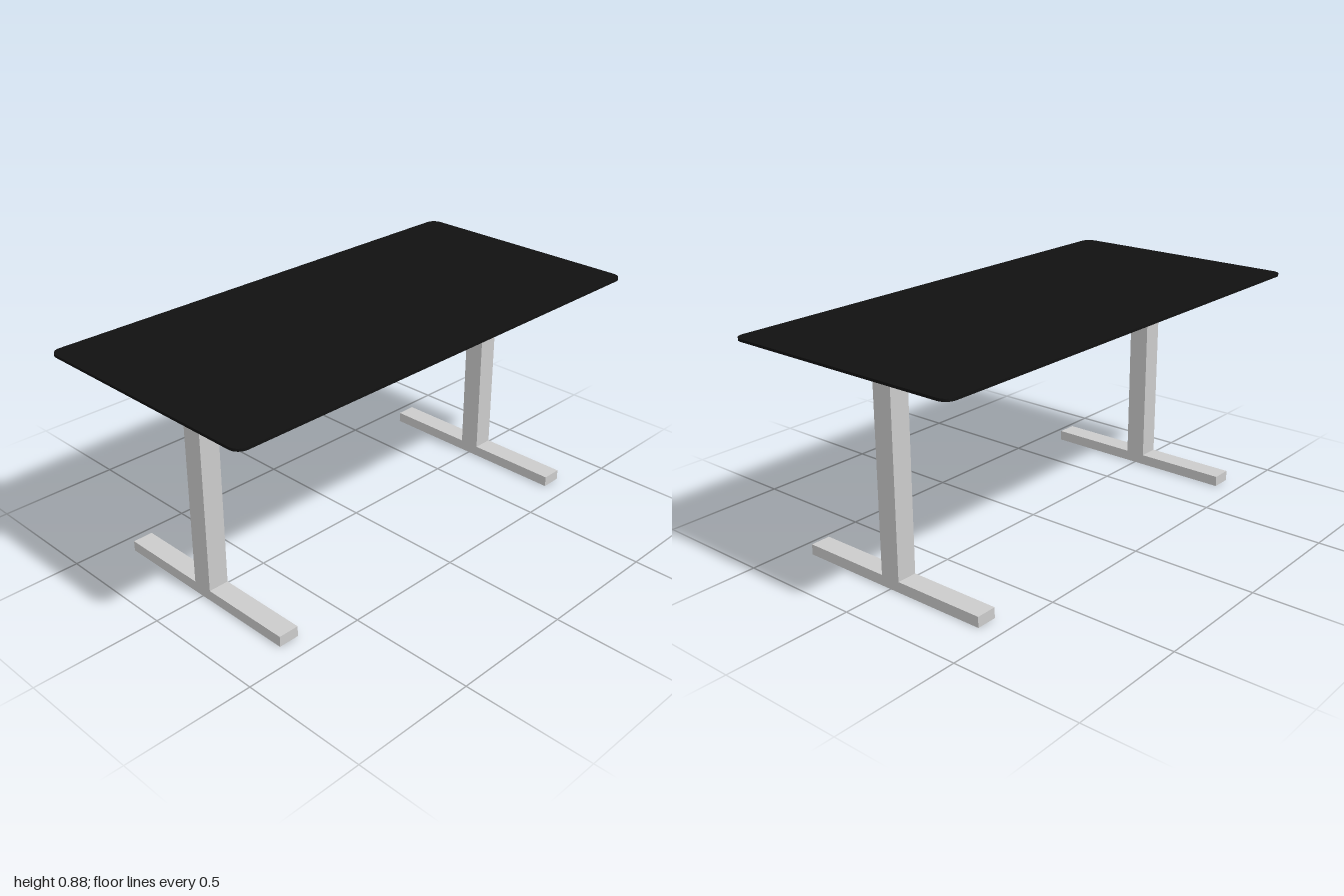
import * as THREE from 'three';

const grey = new THREE.MeshStandardMaterial({ color: 0xcccccc });
const black = new THREE.MeshStandardMaterial({ color: 0x111111 });

const TOP = 0.882, THICK = 0.01;   // table top height and thickness
const POST = 0.083;                // square column width
const FOOT_H = 0.042, FOOT_L = 0.833;

function roundedRect(w, d, r) {
  const x = w / 2, y = d / 2;
  const s = new THREE.Shape();
  s.absarc(x - r, y - r, r, 0, Math.PI / 2);
  s.absarc(-x + r, y - r, r, Math.PI / 2, Math.PI);
  s.absarc(-x + r, -y + r, r, Math.PI, Math.PI * 1.5);
  s.absarc(x - r, -y + r, r, Math.PI * 1.5, Math.PI * 2);
  s.closePath();
  return s;
}

function box(name, w, h, d, bottom) {
  const mesh = new THREE.Mesh(new THREE.BoxGeometry(w, h, d), grey);
  mesh.name = name;
  mesh.position.y = bottom + h / 2;
  return mesh;
}

export function createModel() {
  const desk = new THREE.Group();
  desk.name = 'desk';

  // Thin top with rounded corners
  const slab = new THREE.ExtrudeGeometry(roundedRect(2, 1, 0.042), {
    depth: THICK, bevelEnabled: false, curveSegments: 8,
  });
  slab.rotateX(-Math.PI / 2);
  const top = new THREE.Mesh(slab, black);
  top.name = 'tableTop';
  top.position.y = TOP - THICK;
  desk.add(top);

  // Two legs: a square column on a long flat foot
  for (const side of [1, -1]) {
    const leg = new THREE.Group();
    leg.name = side > 0 ? 'leftLeg' : 'rightLeg';
    leg.position.x = side * 0.75;
    leg.add(
      box('column', POST, TOP - THICK - FOOT_H, POST, FOOT_H),
      box('foot', POST, FOOT_H, FOOT_L, 0),
    );
    desk.add(leg);
  }
  return desk;
}
